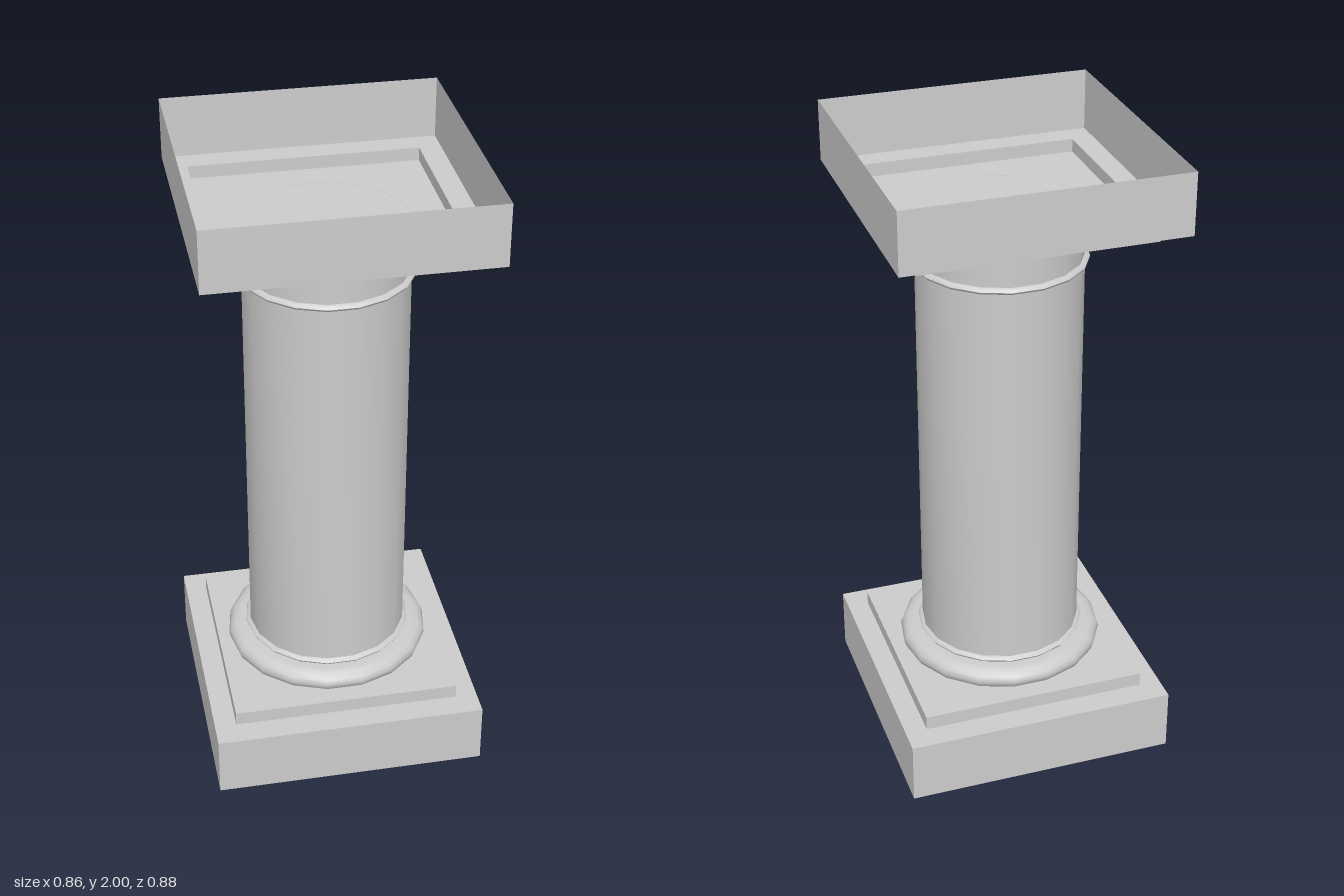
import * as THREE from 'three';
import { toCreasedNormals } from 'three/addons/utils/BufferGeometryUtils.js';

const SIDES = 18;
const material = new THREE.MeshStandardMaterial({ color: 0xcccccc, side: THREE.DoubleSide });

// Open, thin-walled stepped block: rectangle sections [halfX, halfZ, y], closed at the last one
function steppedShell(name, sections) {
  const positions = [];
  const corner = ([hx, hz, y], i) => [
    [hx, y, hz], [hx, y, -hz], [-hx, y, -hz], [-hx, y, hz],
  ][i % 4];
  const quad = (a, b, c, d) => positions.push(...a, ...b, ...c, ...a, ...c, ...d);
  // Sections running downwards need the opposite winding
  const up = sections[sections.length - 1][2] > sections[0][2];
  const face = (a, b, c, d) => (up ? quad(a, b, c, d) : quad(d, c, b, a));
  for (let s = 0; s < sections.length - 1; s++) {
    const lo = sections[s], hi = sections[s + 1];
    for (let i = 0; i < 4; i++) {
      face(corner(lo, i), corner(lo, i + 1), corner(hi, i + 1), corner(hi, i));
    }
  }
  const last = sections[sections.length - 1];
  face(...[0, 1, 2, 3].map((i) => corner(last, i)));
  const geometry = new THREE.BufferGeometry();
  geometry.setAttribute('position', new THREE.Float32BufferAttribute(positions, 3));
  geometry.computeVertexNormals();
  const mesh = new THREE.Mesh(geometry, material);
  mesh.name = name;
  return mesh;
}

// Turned part from [radius, y] points, bottom to top, with a corner on the x axis
function turned(name, profile) {
  const points = profile.map(([r, y]) => new THREE.Vector2(r, y));
  const lathe = new THREE.LatheGeometry(points, SIDES, Math.PI / 2);
  const mesh = new THREE.Mesh(toCreasedNormals(lathe, 0.9), material);
  mesh.name = name;
  return mesh;
}

// Half-round moulding profile bulging outwards from a given radius
function bead(inner, outer, y0, y1, steps) {
  return Array.from({ length: steps + 1 }, (_, i) => {
    const a = (i / steps - 0.5) * Math.PI;
    return [inner + (outer - inner) * Math.cos(a), (y0 + y1) / 2 + ((y1 - y0) / 2) * Math.sin(a)];
  });
}

export function createModel() {
  const column = new THREE.Group();
  column.name = 'column';

  const X = 0.4275, Z = 0.4375, STEP = 0.359, R = 0.254;

  column.add(
    // Hollow square blocks at foot and head
    steppedShell('plinth', [[X, Z, 0], [X, Z, 0.2], [STEP, STEP, 0.2], [STEP, STEP, 0.245]]),
    steppedShell('abacus', [[X, Z, 2], [X, Z, 1.808], [STEP, STEP, 1.808], [STEP, STEP, 1.767]]),
    // Shaft
    turned('shaft', [[R, 0.245], [R, 1.74]]),
    // Base mouldings
    turned('baseTorus', bead(0.285, 0.327, 0.245, 0.315, 6).concat([[R, 0.315]])),
    turned('baseRing', bead(R, 0.268, 0.315, 0.333, 4)),
    // Neck and capital mouldings
    turned('neckRing', bead(R, 0.269, 1.614, 1.634, 4)),
    turned('capitalRing', bead(R, 0.27, 1.72, 1.738, 4)),
    turned('capitalTorus', [[R, 1.737], ...bead(0.258, 0.281, 1.737, 1.768, 6)]),
  );
  return column;
}
